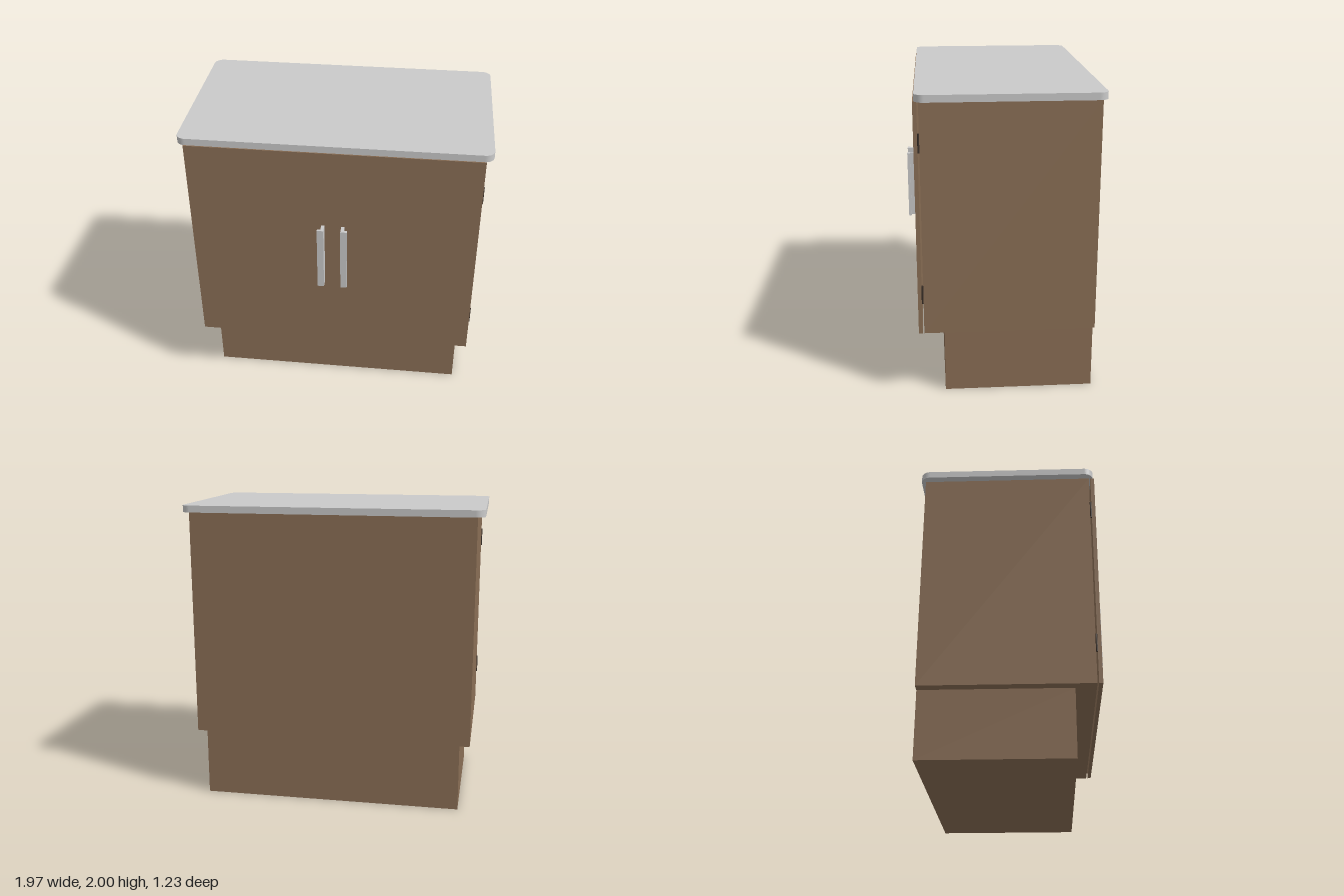
import * as THREE from 'three';

const wood = new THREE.MeshStandardMaterial({ name: 'brownWood', color: 0x8b6f56 });
const stone = new THREE.MeshStandardMaterial({ name: 'lightGrey', color: 0xcacaca });
const dark = new THREE.MeshStandardMaterial({ name: 'darkHinge', color: 0x3a3029 });

// Box given by its minimum and maximum on each axis
function box(name, material, [x0, x1], [y0, y1], [z0, z1]) {
  const mesh = new THREE.Mesh(new THREE.BoxGeometry(x1 - x0, y1 - y0, z1 - z0), material);
  mesh.position.set((x0 + x1) / 2, (y0 + y1) / 2, (z0 + z1) / 2);
  mesh.name = name;
  return mesh;
}

// Slab with rounded vertical corners
function roundedSlab(width, depth, height, r) {
  const x = width / 2, y = depth / 2;
  const s = new THREE.Shape();
  s.absarc(x - r, y - r, r, 0, Math.PI / 2);
  s.absarc(-x + r, y - r, r, Math.PI / 2, Math.PI);
  s.absarc(-x + r, -y + r, r, Math.PI, Math.PI * 1.5);
  s.absarc(x - r, -y + r, r, Math.PI * 1.5, Math.PI * 2);
  s.closePath();
  return new THREE.ExtrudeGeometry(s, { depth: height, bevelEnabled: false, curveSegments: 8 })
    .rotateX(-Math.PI / 2);
}

// L-shaped pull: a stem from the door with an outward lip
function handleGeometry(side) {
  const points = [[0.055, 0.55], [0.076, 0.55], [0.076, 0.595], [0.098, 0.595], [0.098, 0.613], [0.055, 0.613]];
  const shape = new THREE.Shape(points.map(([x, z]) => new THREE.Vector2(side * x, -z)));
  return new THREE.ExtrudeGeometry(shape, { depth: 0.455, bevelEnabled: false })
    .rotateX(-Math.PI / 2).translate(0, 0.96, 0);
}

export function createModel() {
  const model = new THREE.Group();
  model.name = 'baseCabinet';

  // Recessed plinth and cabinet body, flush at the back
  model.add(box('plinth', wood, [-0.868, 0.868], [0, 0.45], [-0.585, 0.385]));
  model.add(box('body', wood, [-0.935, 0.935], [0.45, 1.955], [-0.585, 0.515]));

  // Worktop
  const top = new THREE.Mesh(roundedSlab(1.966, 1.155, 0.045, 0.06), stone);
  top.name = 'worktop';
  top.position.set(0, 1.955, -0.0355);
  model.add(top);

  // Doors, handles and hinges, mirrored
  for (const side of [1, -1]) {
    const label = side > 0 ? 'left' : 'right';
    model.add(box(label + 'Door', wood, side > 0 ? [0, 0.935] : [-0.935, 0], [0.45, 1.955], [0.525, 0.55]));

    const handle = new THREE.Mesh(handleGeometry(side), stone);
    handle.name = label + 'Handle';
    model.add(handle);

    for (const y of [0.72, 1.70]) {
      const hinge = new THREE.Mesh(new THREE.CylinderGeometry(0.006, 0.006, 0.12, 10), dark);
      hinge.name = label + 'Hinge';
      hinge.position.set(side * 0.936, y, 0.52);
      model.add(hinge);
    }
  }
  return model;
}
